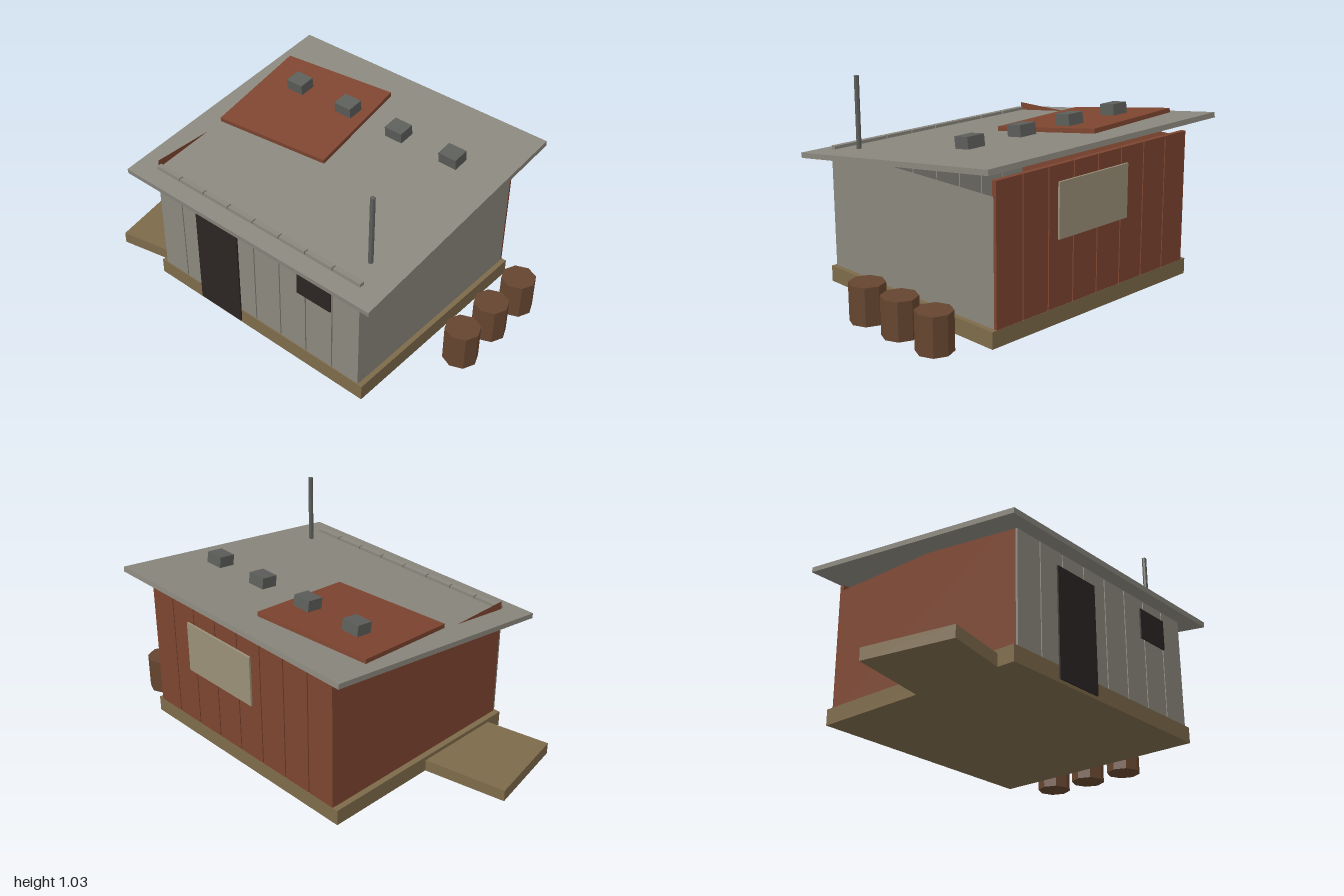
import * as THREE from 'three';

const mat = (color, extra = {}) =>
  new THREE.MeshStandardMaterial({ color, flatShading: true, ...extra });

const MATS = {
  grey: mat(0x8a877d),
  greyThin: mat(0x8a877d, { side: THREE.DoubleSide }),
  rust: mat(0x7d4530),
  rustThin: mat(0x7d4530, { side: THREE.DoubleSide }),
  wood: mat(0x7d6a4a),
  dark: mat(0x2b2523),
  metal: mat(0x5c5e5a),
  barrel: mat(0x65452f),
  shutter: mat(0x9a9078),
};

const TILT = 0.13;   // roof slope, rising to the back
const CX = 0.077;    // middle of the hut

export function createModel() {
  const model = new THREE.Group();
  model.name = 'shack';

  const add = (name, geometry, material, x, y, z, parent = model) => {
    const mesh = new THREE.Mesh(geometry, material);
    mesh.name = name;
    mesh.position.set(x, y, z);
    parent.add(mesh);
    return mesh;
  };
  const box = (name, material, w, h, d, x, y, z, parent) =>
    add(name, new THREE.BoxGeometry(w, h, d), material, x, y, z, parent);

  // Plinth and the skewed porch slab beside it
  box('plinth', MATS.wood, 1.32, 0.08, 1.15, 0.075, 0.04, 0);
  const porch = box('porch', MATS.wood, 0.5, 0.06, 0.46, -0.709, 0.03, 0.276);
  porch.rotation.y = 0.2;

  // Plank walls, front and back
  const plankWall = (name, material, top, z, depth) => {
    const wall = new THREE.Group();
    wall.name = name;
    for (let i = 0; i < 8; i++) {
      const x = CX + (i - 3.5) * 0.1585;
      box('plank', material, 0.152, top - 0.08, depth, x, (top + 0.08) / 2, z, wall);
    }
    model.add(wall);
  };
  plankWall('frontWall', MATS.grey, 0.685, 0.557, 0.026);
  plankWall('backWall', MATS.rust, 0.74, -0.562, 0.024);

  // Thin sheet side walls; the left sheet pokes through the low end of the roof
  const sheetWall = (name, material, top, x, facing) => {
    const wall = add(name, new THREE.PlaneGeometry(1.12, top - 0.08), material, x, (top + 0.08) / 2, 0);
    wall.rotation.y = facing * Math.PI / 2;
  };
  sheetWall('greySideWall', MATS.greyThin, 0.67, 0.71, 1);
  sheetWall('rustSideWall', MATS.rustThin, 0.71, -0.555, -1);

  // Openings
  box('door', MATS.dark, 0.27, 0.545, 0.008, -0.155, 0.288, 0.58);
  box('frontWindow', MATS.dark, 0.197, 0.155, 0.008, 0.452, 0.508, 0.578);
  box('backShutter', MATS.shutter, 0.45, 0.26, 0.01, 0.155, 0.55, -0.62);

  // Sloping roof sheet with its patch and vents
  const roof = new THREE.Group();
  roof.name = 'roof';
  roof.position.set(0.075, 0.7275, 0);
  roof.rotation.x = TILT;
  model.add(roof);
  box('roofSheet', MATS.grey, 1.5, 0.026, 1.32, 0, 0, 0, roof);
  const patch = box('roofPatch', MATS.rust, 0.63, 0.022, 0.582, -0.343, 0.027, -0.18, roof);
  patch.rotation.y = 0.1;
  for (let i = 0; i < 4; i++) {
    box('roofVent', MATS.metal, 0.098, 0.055, 0.085, -0.459 + i * 0.3165, 0.066, -0.27, roof);
  }

  // Stove pipe
  add('chimney', new THREE.CylinderGeometry(0.012, 0.012, 0.38, 8), MATS.metal, 0.65, 0.845, 0.43);

  // Barrels along the side
  for (let i = 0; i < 3; i++) {
    add('barrel', new THREE.CylinderGeometry(0.086, 0.086, 0.185, 8), MATS.barrel,
      0.911, 0.0925, 0.055 - i * 0.231);
  }

  return model;
}
